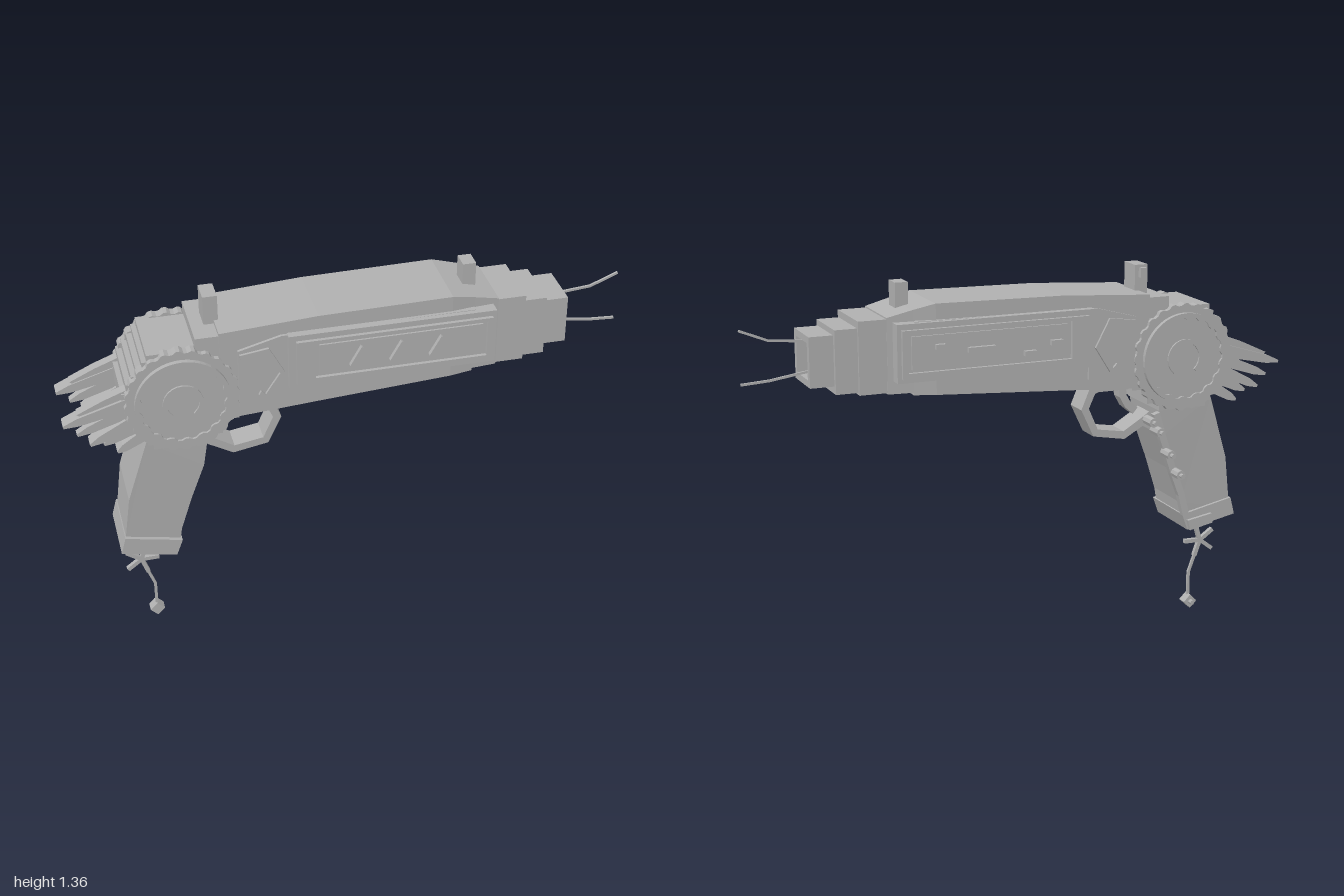
import * as THREE from 'three';

const metal = new THREE.MeshStandardMaterial({ color: 0xb0b0b0, flatShading: true });
metal.name = 'plain grey';

export function createModel() {
  const root = new THREE.Group();
  root.name = 'rayPistol';
  const model = new THREE.Group();
  model.name = 'pistol';
  model.position.z = 0.006;
  root.add(model);

  const add = (name, geo) => {
    const m = new THREE.Mesh(geo, metal);
    m.name = name;
    model.add(m);
    return m;
  };
  // Box given by its limits on each axis
  const box = (name, x0, x1, y0, y1, z0, z1) =>
    add(name, new THREE.BoxGeometry(x1 - x0, y1 - y0, z1 - z0)
      .translate((x0 + x1) / 2, (y0 + y1) / 2, (z0 + z1) / 2));
  // Outline in x and y, extruded between two depths
  const slab = (name, pts, za, zb, hole) => {
    const shape = new THREE.Shape(pts.map(p => new THREE.Vector2(...p)));
    if (hole) shape.holes.push(new THREE.Path(hole.map(p => new THREE.Vector2(...p))));
    const geo = new THREE.ExtrudeGeometry(shape, { depth: Math.abs(zb - za), bevelEnabled: false });
    return add(name, geo.translate(0, 0, Math.min(za, zb)));
  };
  // Band of even width that follows a line of points
  const strip = (name, pts, w, za, zb) => {
    const left = [], right = [];
    pts.forEach(([x, y], i) => {
      const a = pts[Math.max(i - 1, 0)], b = pts[Math.min(i + 1, pts.length - 1)];
      const dx = b[0] - a[0], dy = b[1] - a[1], k = w / 2 / Math.hypot(dx, dy);
      left.push([x - dy * k, y + dx * k]);
      right.unshift([x + dy * k, y - dx * k]);
    });
    return slab(name, [...left, ...right], za, zb);
  };
  const rect = (x0, x1, y0, y1) => [[x0, y0], [x1, y0], [x1, y1], [x0, y1]];
  const circle = (cx, cy, r, n, r2 = r) => Array.from({ length: n }, (_, i) => {
    const a = i / n * Math.PI * 2, q = Math.floor(i / 2) % 2 ? r2 : r;
    return [cx + Math.cos(a) * q, cy + Math.sin(a) * q];
  });
  // Rectangular cross-sections [x, bottom, top, halfWidth] joined along x
  const loft = (name, rows) => {
    const pos = [], idx = [];
    rows.forEach(([x, b, t, h]) => pos.push(x, b, h, x, b, -h, x, t, -h, x, t, h));
    for (let i = 0; i < rows.length - 1; i++) for (let j = 0; j < 4; j++) {
      const a = i * 4 + j, c = i * 4 + (j + 1) % 4;
      idx.push(a, c, a + 4, c, c + 4, a + 4);
    }
    const e = (rows.length - 1) * 4;
    idx.push(0, 2, 1, 0, 3, 2, e, e + 1, e + 2, e, e + 2, e + 3);
    const g = new THREE.BufferGeometry();
    g.setAttribute('position', new THREE.Float32BufferAttribute(pos, 3));
    g.setIndex(idx);
    const flat = g.toNonIndexed();
    flat.computeVertexNormals();
    return add(name, flat);
  };

  // Barrel body and stepped nose
  loft('barrelBody', [[-0.46, 0.92, 1.262, 0.134], [-0.12, 0.943, 1.283, 0.134],
    [0.35, 0.972, 1.29, 0.134], [0.43, 0.976, 1.272, 0.124]]);
  loft('noseCollar', [[0.43, 0.985, 1.272, 0.124], [0.52, 0.985, 1.25, 0.116]]);
  box('noseStepLarge', 0.52, 0.62, 0.99, 1.245, -0.114, 0.114);
  box('noseStepMiddle', 0.62, 0.7, 0.998, 1.22, -0.104, 0.104);
  box('rearTopStep', -0.54, -0.44, 1.1, 1.25, -0.128, 0.128);

  // Hollow muzzle with a small square plug inside
  const muzzle = slab('muzzleFrame', rect(-0.088, 0.088, -0.088, 0.088), 0, 0.085,
    rect(-0.064, 0.064, -0.064, 0.064));
  muzzle.rotation.y = Math.PI / 2;
  muzzle.position.set(0.7, 1.112, 0);
  box('muzzlePlug', 0.7, 0.74, 1.065, 1.16, -0.048, 0.048);
  strip('upperProng', [[0.72, 1.165], [0.8, 1.172], [0.9, 1.181], [1, 1.222]], 0.008, -0.004, 0.004);
  strip('lowerProng', [[0.72, 1.07], [0.8, 1.058], [0.9, 1.043], [1, 1.037]], 0.008, -0.004, 0.004);

  // Rear housing with a staircase outline at the back
  const rear = [[-0.4, 0.915], [-0.4, 1.21], [-0.7, 1.21]];
  let y = 1.21;
  for (const [x, next] of [[-0.705, 1.185], [-0.722, 1.16], [-0.742, 1.135], [-0.76, 1.105],
    [-0.78, 1.07], [-0.797, 1.0], [-0.79, 0.95], [-0.765, 0.91], [-0.745, 0.88], [-0.72, 0.85]]) {
    rear.push([x, y], [x, next]);
    y = next;
  }
  rear.push([-0.7, 0.85], [-0.7, 0.83], [-0.51, 0.83], [-0.51, 0.86], [-0.46, 0.86], [-0.46, 0.915]);
  slab('rearHousing', rear, -0.128, 0.128);

  for (const s of [1, -1]) {
    const cx = -0.595, cy = 1.025;
    // Toothed wheel with rings and an open arc
    slab('wheelGear', circle(cx, cy, 0.198, 96, 0.19), s * 0.11, s * 0.148);
    slab('wheelDisc', circle(cx, cy, 0.165, 48), s * 0.14, s * 0.156);
    slab('wheelRim', circle(cx, cy, 0.165, 48), s * 0.15, s * 0.165, circle(cx, cy, 0.15, 72, 0.142));
    const arc = Array.from({ length: 19 }, (_, i) => {
      const a = -0.9 + i / 18 * 4.9;
      return [cx + Math.cos(a) * 0.063, cy + Math.sin(a) * 0.063];
    });
    strip('wheelArc', arc, 0.014, s * 0.15, s * 0.163);

    // Side plate, angular trim and framed panel
    slab('sidePlate', [[-0.4, 0.965], [-0.22, 0.975], [-0.22, 1.02], [0.43, 1.03], [0.43, 1.235],
      [-0.25, 1.23], [-0.4, 1.19]], s * 0.12, s * 0.145);
    strip('angledTrim', [[-0.395, 1.17], [-0.3, 1.185], [-0.25, 1.09], [-0.305, 1.005], [-0.33, 1.02]],
      0.018, s * 0.14, s * 0.155);
    slab('panelBase', rect(-0.23, 0.5, 1.03, 1.233), s * 0.1, s * 0.163);
    slab('panelFrame', rect(-0.205, 0.485, 1.045, 1.213), s * 0.16, s * 0.176,
      rect(-0.14, 0.465, 1.065, 1.2));
    slab('panelInset', rect(-0.125, 0.45, 1.075, 1.19), s * 0.16, s * 0.17);

    // Fan of fins behind the wheel
    const tips = [[-1, 0.972], [-0.955, 0.925], [-0.915, 0.885], [-0.868, 0.872], [-0.825, 0.842]];
    tips.forEach(([tx, ty], i) => {
      const rx = -0.755 + i * 0.014, ry = 1.035 - i * 0.03;
      const d = Math.hypot(tx - rx, ty - ry), nx = -(ty - ry) / d, ny = (tx - rx) / d;
      const at = (t, w) => [rx + (tx - rx) * t + nx * w, ry + (ty - ry) * t + ny * w];
      slab('rearFin', [at(0, 0.024), at(0.8, 0.015), at(1, 0.005), at(1, -0.005), at(0.8, -0.015), at(0, -0.024)],
        s * (0.08 + (i % 2) * 0.012), s * (0.132 - (i % 2) * 0.012));
    });
    slab('finCover', [[-0.76, 1.09], [-0.86, 1.052], [-0.95, 1.01], [-0.93, 0.99], [-0.84, 0.99], [-0.76, 0.98]],
      s * 0.085, s * 0.122);
  }

  // Slanted marks on the front panel, small blocks on the back one
  for (const x of [-0.02, 0.12, 0.26])
    strip('panelMark', [[x, 1.1], [x + 0.04, 1.17]], 0.007, 0.168, 0.186);
  for (const [x, w, py] of [[0.35, 0.035, 1.15], [0.2, 0.1, 1.13], [0.02, 0.045, 1.1], [-0.08, 0.045, 1.13]])
    box('panelBlock', x - w / 2, x + w / 2, py - 0.009, py + 0.009, -0.186, -0.168);

  // Sights
  box('rearSight', -0.495, -0.445, 1.25, 1.355, -0.043, 0.043);
  box('rearSightKnob', -0.485, -0.46, 1.31, 1.345, -0.06, -0.04);
  box('frontSight', 0.413, 0.46, 1.24, 1.352, -0.033, 0.033);

  // Grip, narrowing in width toward the bottom
  const grip = slab('grip', [[-0.725, 0.86], [-0.8, 0.62], [-0.825, 0.43], [-0.63, 0.4],
    [-0.62, 0.46], [-0.58, 0.59], [-0.53, 0.73], [-0.51, 0.86]], -0.122, 0.122);
  const gp = grip.geometry.attributes.position;
  for (let i = 0; i < gp.count; i++)
    gp.setZ(i, gp.getZ(i) * (0.87 + 0.13 * Math.min(1, (gp.getY(i) - 0.4) / 0.42)));
  grip.geometry.computeVertexNormals();
  slab('gripBase', [[-0.825, 0.46], [-0.842, 0.395], [-0.645, 0.355], [-0.622, 0.417]], -0.119, 0.122);
  slab('baseTab', [[-0.74, 0.412], [-0.745, 0.375], [-0.65, 0.356], [-0.64, 0.395]], -0.132, -0.11);

  // Side rod with studs on the far side of the grip
  strip('gripRod', [[-0.5, 0.82], [-0.53, 0.72], [-0.575, 0.59], [-0.61, 0.5], [-0.63, 0.42]], 0.026, -0.132, -0.108);
  for (const [x, sy] of [[-0.465, 0.8], [-0.495, 0.76], [-0.54, 0.67], [-0.58, 0.59]]) {
    for (const [r, z0, z1] of [[0.018, -0.18, -0.12], [0.009, -0.197, -0.18]])
      slab('gripStud', circle(x, sy, r, 8), z0, z1);
  }

  // Trigger and guard
  strip('triggerGuard', [[-0.52, 0.795], [-0.49, 0.775], [-0.41, 0.728], [-0.295, 0.748], [-0.252, 0.84],
    [-0.28, 0.905], [-0.33, 0.925]], 0.03, -0.047, 0.047);
  strip('trigger', [[-0.41, 0.93], [-0.415, 0.87], [-0.435, 0.835], [-0.465, 0.81]], 0.028, -0.025, 0.025);
  box('triggerMount', -0.46, -0.3, 0.9, 0.95, -0.047, 0.047);

  // Hanging charm: cord, five-armed star and bead
  strip('upperCord', [[-0.735, 0.39], [-0.742, 0.33], [-0.762, 0.265]], 0.01, -0.005, 0.005);
  for (let i = 0; i < 5; i++) {
    const a = 0.02 + i * Math.PI * 0.4;
    strip('starArm', [[-0.762, 0.265], [-0.762 + Math.cos(a) * 0.065, 0.265 + Math.sin(a) * 0.065]],
      0.015, -0.008, 0.008);
  }
  strip('lowerCord', [[-0.755, 0.25], [-0.74, 0.2], [-0.718, 0.14], [-0.718, 0.04]], 0.01, -0.005, 0.005);
  slab('bead', circle(-0.718, 0.027, 0.027, 4), -0.022, 0.016);
  slab('beadPin', circle(-0.718, 0.027, 0.009, 6), -0.04, -0.02);

  return root;
}
